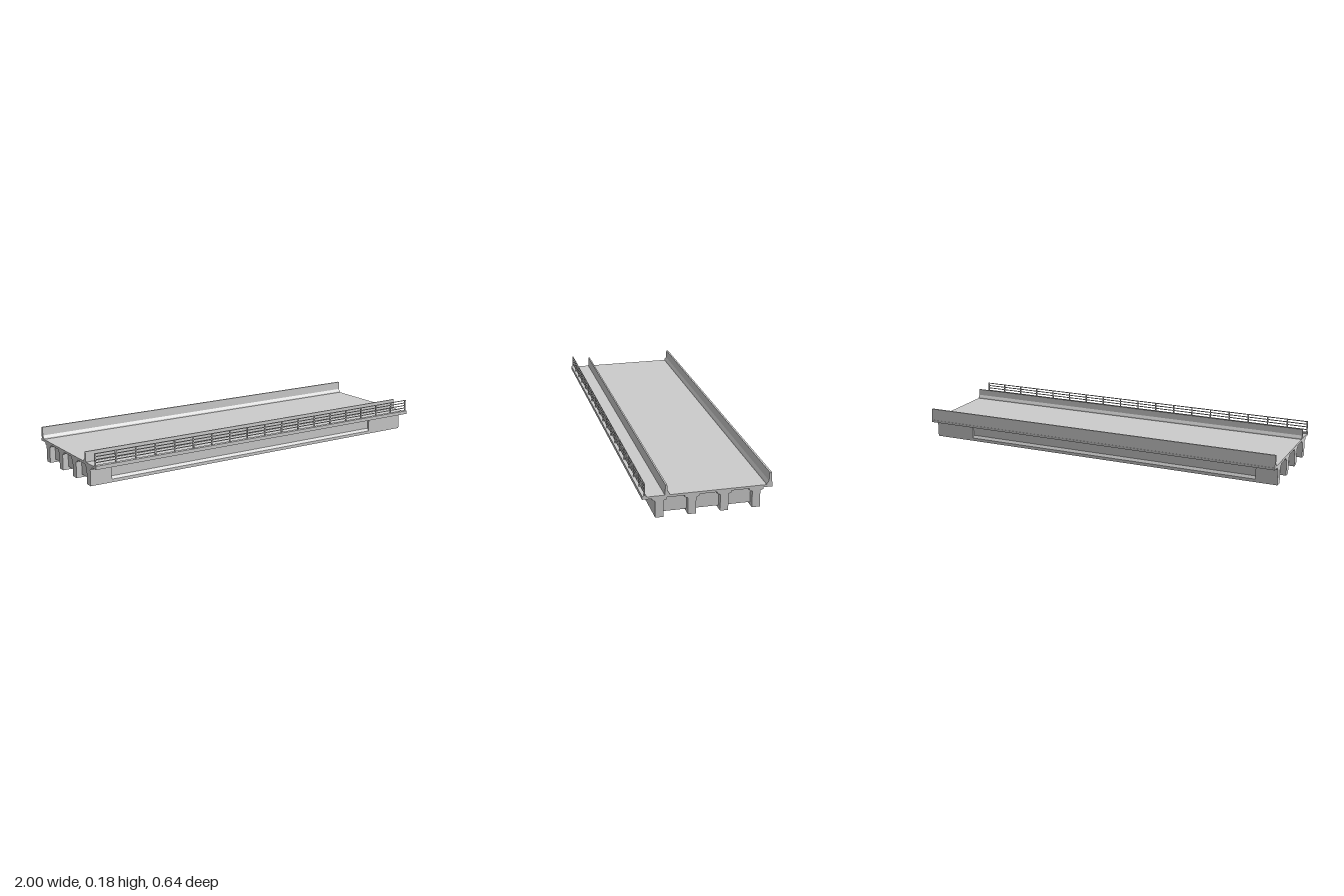
import * as THREE from 'three';

const material = new THREE.MeshStandardMaterial({ color: 0xcccccc, flatShading: true });

function addMesh(parent, name, geometry) {
  const mesh = new THREE.Mesh(geometry, material);
  mesh.name = name;
  parent.add(mesh);
  return mesh;
}

// Sweeps a cross-section of [z, y] points along x from x0 to x1.
function sweep(parent, name, points, x0, x1) {
  const shape = new THREE.Shape(points.map(([z, y]) => new THREE.Vector2(-z, y)));
  const geometry = new THREE.ExtrudeGeometry(shape, { depth: x1 - x0, bevelEnabled: false });
  geometry.rotateY(Math.PI / 2).translate(x0, 0, 0);
  return addMesh(parent, name, geometry);
}

function box(parent, name, x0, x1, y0, y1, z0, z1) {
  const geometry = new THREE.BoxGeometry(x1 - x0, y1 - y0, z1 - z0);
  geometry.translate((x0 + x1) / 2, (y0 + y1) / 2, (z0 + z1) / 2);
  return addMesh(parent, name, geometry);
}

// Mirrors a half-section about a centre line to close the outline.
function mirrored(half, centre) {
  return [
    ...half.map(([w, y]) => [centre + w, y]),
    ...[...half].reverse().map(([w, y]) => [centre - w, y]),
  ];
}

export function createModel() {
  const bridge = new THREE.Group();
  bridge.name = 'bridgeSpan';

  // Deck slab and footway kerb
  box(bridge, 'deckSlab', -1, 1, 0.099, 0.111, -0.318, 0.32);
  box(bridge, 'railingKerb', -1, 1, 0.111, 0.117, 0.299, 0.32);

  // Girders: solid end blocks with a slender I-section between them
  const solid = [[0.02, 0], [0.02, 0.084], [0.035, 0.09], [0.035, 0.099]];
  const slender = [[0.02, 0], [0.02, 0.016], [0.01, 0.03], [0.01, 0.08],
    [0.02, 0.084], [0.035, 0.09], [0.035, 0.099]];
  const girderZ = [0.237, 0.079, -0.079, -0.237];
  girderZ.forEach((z) => {
    const girder = new THREE.Group();
    girder.name = 'girder';
    sweep(girder, 'girderEnd', mirrored(solid, z), -1, -0.885);
    sweep(girder, 'girderMiddle', mirrored(slender, z), -0.885, 0.77);
    sweep(girder, 'girderEnd', mirrored(solid, z), 0.77, 1);
    bridge.add(girder);
  });

  // Cross walls between neighbouring girders
  for (const x of [-0.96, -1 / 3, 1 / 3, 0.96]) {
    for (let i = 0; i < girderZ.length - 1; i++) {
      box(bridge, 'diaphragm', x - 0.01, x + 0.01, 0.015, 0.099, girderZ[i + 1], girderZ[i]);
    }
  }

  // Traffic barriers, sloped on the road side
  sweep(bridge, 'innerBarrier', [[0.211, 0.111], [0.187, 0.111], [0.188, 0.117],
    [0.197, 0.13], [0.2, 0.163], [0.208, 0.163]], -1, 1);
  sweep(bridge, 'outerBarrier', [[-0.316, 0.111], [-0.288, 0.111], [-0.289, 0.117],
    [-0.299, 0.13], [-0.301, 0.174], [-0.311, 0.174]], -1, 1);

  // Footway railing
  const railing = new THREE.Group();
  railing.name = 'railing';
  const bays = 18;
  for (let i = 0; i <= bays; i++) {
    const x = -0.997 + (1.994 * i) / bays;
    box(railing, 'railingPost', x - 0.003, x + 0.003, 0.117, 0.179, 0.305, 0.311);
  }
  for (const y of [0.132, 0.147, 0.162, 0.177]) {
    box(railing, 'railingBar', -1, 1, y - 0.002, y + 0.002, 0.306, 0.31);
  }
  bridge.add(railing);

  return bridge;
}
